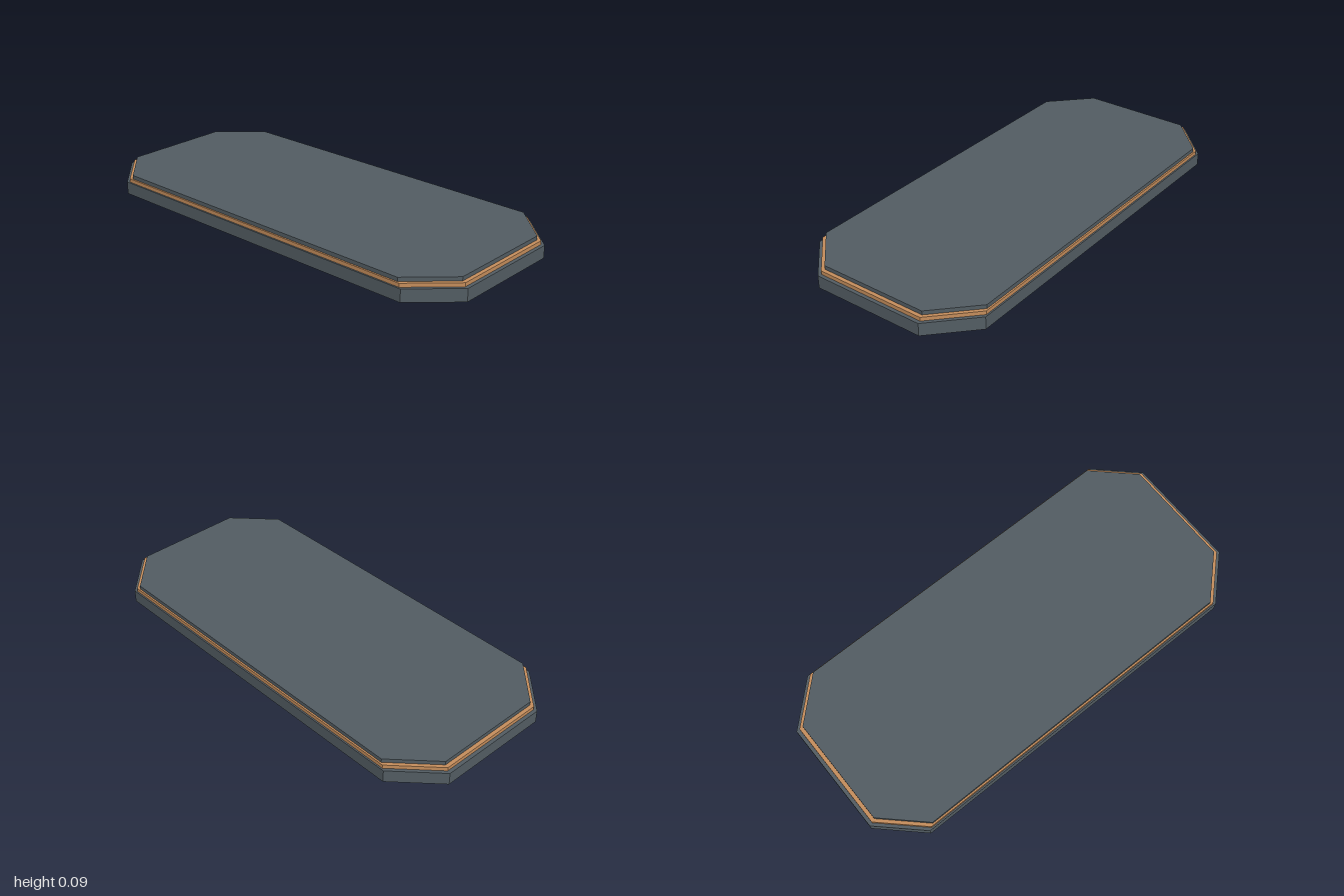
import * as THREE from 'three';

// Half extents of the footprint and where the corner cuts begin
const X = 1, Z = 0.442, CUT_X = 0.815, CUT_Z = 0.265;
const OUTLINE = [
  [X, -CUT_Z], [X, CUT_Z], [CUT_X, Z], [-CUT_X, Z],
  [-X, CUT_Z], [-X, -CUT_Z], [-CUT_X, -Z], [CUT_X, -Z],
];

// Eight-sided tier made of thin walls and a lid, open underneath
function tier(name, scale, y0, y1, material) {
  const points = OUTLINE.map(([x, z]) => new THREE.Vector2(x * scale, z * scale));

  // Walls: two triangles per side, facing outwards
  const positions = [];
  points.forEach((a, i) => {
    const b = points[(i + 1) % points.length];
    positions.push(
      b.x, y0, b.y, a.x, y0, a.y, a.x, y1, a.y,
      b.x, y0, b.y, a.x, y1, a.y, b.x, y1, b.y,
    );
  });
  const wallGeometry = new THREE.BufferGeometry();
  wallGeometry.setAttribute('position', new THREE.Float32BufferAttribute(positions, 3));
  wallGeometry.computeVertexNormals();
  const walls = new THREE.Mesh(wallGeometry, material);
  walls.name = name + 'Walls';

  // Lid
  const lidGeometry = new THREE.ShapeGeometry(new THREE.Shape(points));
  lidGeometry.rotateX(-Math.PI / 2);
  lidGeometry.translate(0, y1, 0);
  const lid = new THREE.Mesh(lidGeometry, material);
  lid.name = name + 'Lid';

  const group = new THREE.Group();
  group.name = name;
  group.add(walls, lid);
  return group;
}

export function createModel() {
  const slate = new THREE.MeshStandardMaterial({ color: 0x535d63, side: THREE.DoubleSide });
  slate.name = 'slate';
  const copper = new THREE.MeshStandardMaterial({ color: 0xc68e5c, side: THREE.DoubleSide });
  copper.name = 'copper';

  const model = new THREE.Group();
  model.name = 'steppedPlatform';
  model.add(
    tier('base', 1, 0, 0.058, slate),
    tier('trimBand', 0.984, 0.058, 0.075, copper),
    tier('topPlate', 0.967, 0.075, 0.093, slate),
  );
  return model;
}
